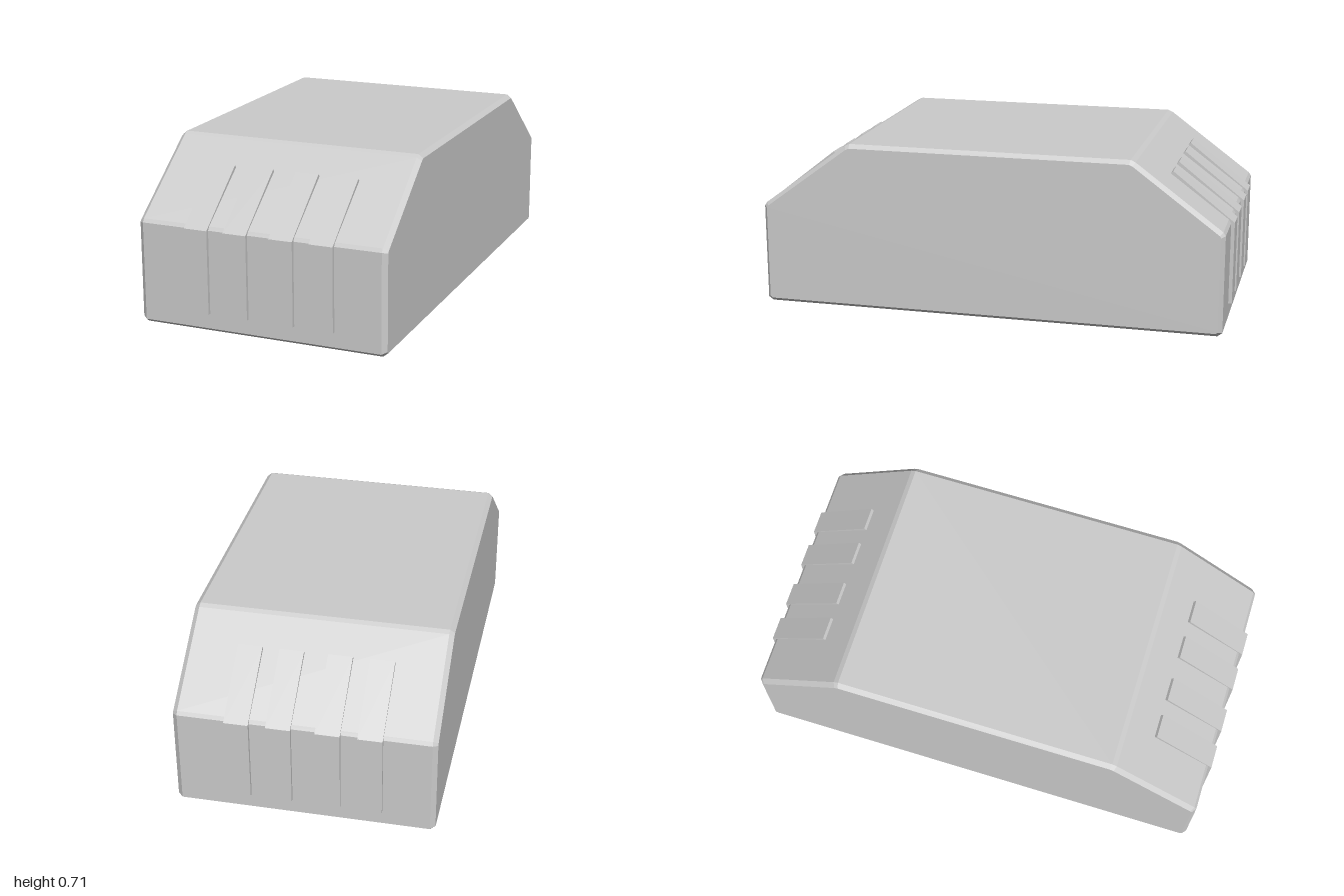
import * as THREE from 'three';

const material = new THREE.MeshStandardMaterial({ color: 0xcccccc });

// Side profile (z, y) extruded along x, centred on x = 0
function extrudeAcross(points, width, bevel, name) {
  const shape = new THREE.Shape(points.map(([z, y]) => new THREE.Vector2(z, y)));
  const geometry = new THREE.ExtrudeGeometry(shape, {
    depth: width - 2 * bevel,
    bevelEnabled: bevel > 0,
    bevelThickness: bevel,
    bevelSize: bevel * 0.8,
    bevelOffset: -bevel * 0.8,
    bevelSegments: 1,
  });
  geometry.translate(0, 0, bevel - width / 2);
  geometry.rotateY(-Math.PI / 2);
  const mesh = new THREE.Mesh(geometry, material);
  mesh.name = name;
  return mesh;
}

export function createModel() {
  const model = new THREE.Group();
  model.name = 'slopedBlock';

  // Body: block with sloped shoulders and chamfered edges
  const half = [[0.965, 0], [0.985, 0.015], [0.985, 0.425], [0.975, 0.44], [0.615, 0.706], [0.595, 0.715]];
  const mirrored = half.map(([z, y]) => [-z, y]).reverse();
  model.add(extrudeAcross([...half, ...mirrored], 1.066, 0.02, 'body'));

  // Raised ribs folded over the shoulder, four on each end
  const ribProfile = [[0.95, 0.078], [1, 0.078], [1, 0.427], [0.74, 0.631], [0.727, 0.617], [0.95, 0.4]];
  for (const [end, turn] of [['front', 0], ['back', Math.PI]]) {
    const ribs = new THREE.Group();
    ribs.name = end + 'Ribs';
    ribs.rotation.y = turn;
    for (const x of [-0.27, -0.1, 0.098, 0.268]) {
      const rib = extrudeAcross(ribProfile, 0.1, 0, end + 'Rib');
      // Mirror the spacing so both ends line up
      rib.position.x = turn ? -x : x;
      ribs.add(rib);
    }
    model.add(ribs);
  }
  return model;
}
